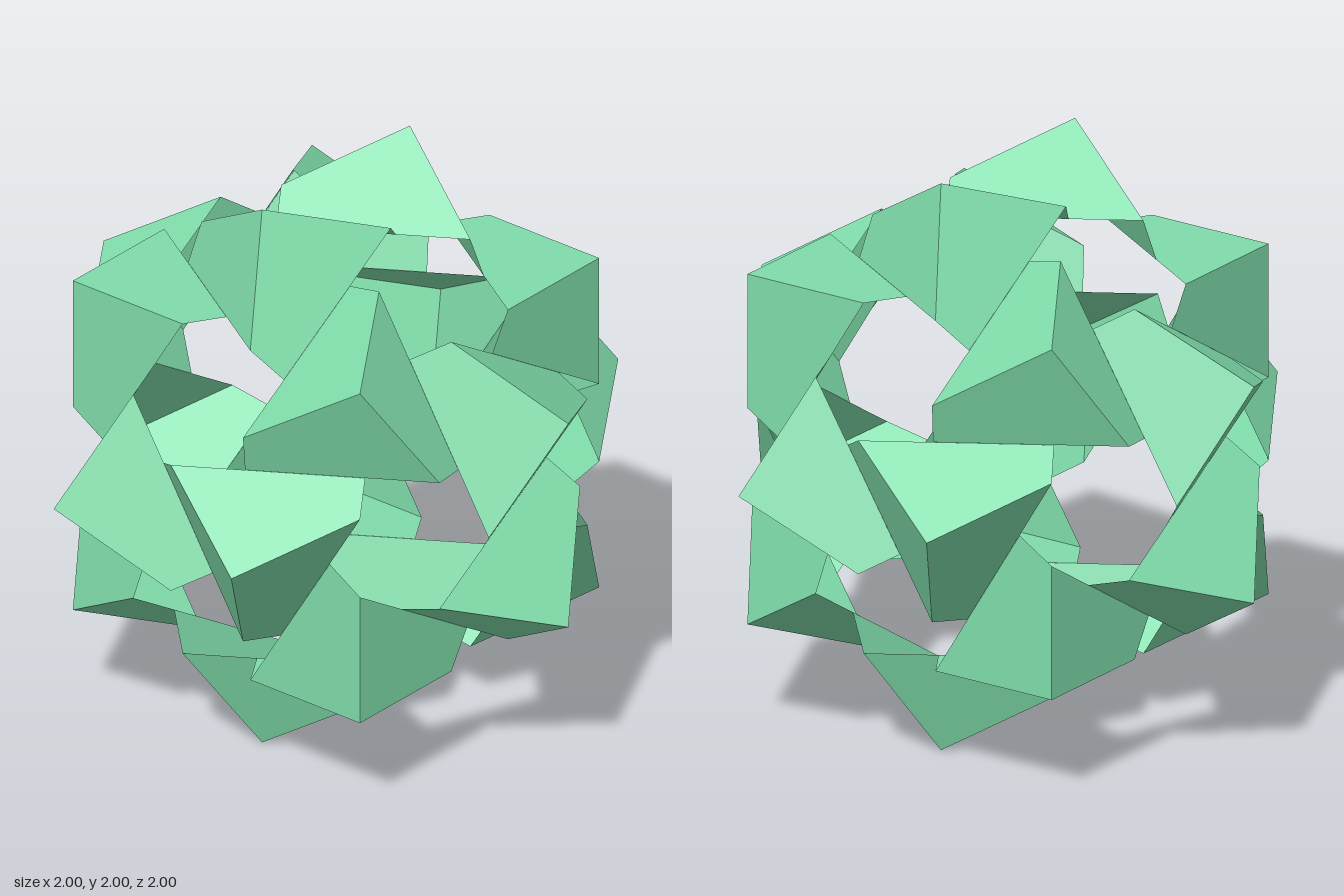
import * as THREE from 'three';

const PHI = (1 + Math.sqrt(5)) / 2;
const C = 1 / PHI;        // half edge of the cube whose corner forms each spike
const L = 2 * C;          // cube edge length
const SHORT = C * C * L;  // reach of a spike along its ridges

// One three-sided spike: a cube corner whose faces are cut square to the valley folds
function spikeGeometry() {
  const face = [
    [C, C, C],
    [C - SHORT, C, C],
    [C - 0.447 * L, C - 0.1055 * L, C],
    [C, C - SHORT, C],
  ];
  const pos = [];
  for (let turn = 0; turn < 3; turn++) {
    // cyclic permutation turns the face about the spike's own axis
    const pts = face.map((p) => [0, 1, 2].map((i) => p[(i + turn) % 3]));
    for (const i of [0, 1, 2, 0, 2, 3]) pos.push(...pts[i]);
  }
  const geo = new THREE.BufferGeometry();
  geo.setAttribute('position', new THREE.Float32BufferAttribute(pos, 3));
  geo.computeVertexNormals();
  return geo;
}

export function createModel() {
  const model = new THREE.Group();
  model.name = 'foldedPaperBall';
  const paper = new THREE.MeshStandardMaterial({
    color: 0x7fdcaa, flatShading: true, side: THREE.DoubleSide,
  });
  const geo = spikeGeometry();
  const fiveFold = new THREE.Vector3(1, 0, PHI).normalize();
  const halfTurns = [
    new THREE.Quaternion(),
    new THREE.Quaternion(1, 0, 0, 0),
    new THREE.Quaternion(0, 1, 0, 0),
    new THREE.Quaternion(0, 0, 1, 0),
  ];

  // Five sets of four spikes stand on the corners of a dodecahedron
  for (let k = 0; k < 5; k++) {
    const turn = new THREE.Quaternion().setFromAxisAngle(fiveFold, (k * 2 * Math.PI) / 5);
    halfTurns.forEach((half) => {
      const spike = new THREE.Mesh(geo, paper);
      spike.name = 'spike';
      spike.quaternion.copy(turn).multiply(half);
      spike.position.y = 1;
      model.add(spike);
    });
  }
  return model;
}
